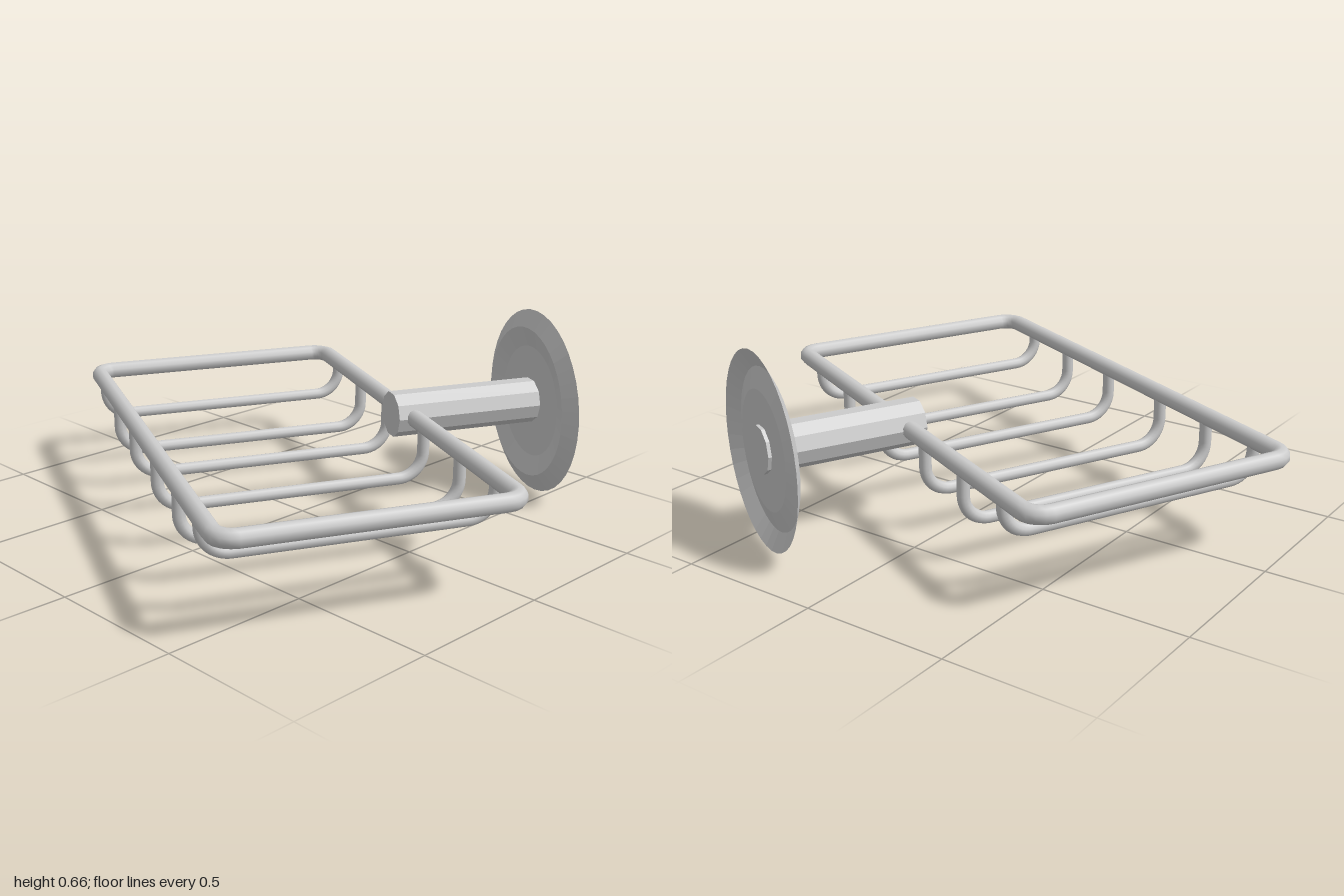
import * as THREE from 'three';

const metal = new THREE.MeshStandardMaterial({ color: 0xcccccc });
const sheet = new THREE.MeshStandardMaterial({ color: 0xcccccc, side: THREE.DoubleSide, flatShading: true });
const faceted = new THREE.MeshStandardMaterial({ color: 0xcccccc, flatShading: true });

// Path through corner points, each inner corner rounded by radius r
function roundedPath(points, r, closed) {
  const path = new THREE.CurvePath();
  const n = points.length;
  const toward = (a, b, d) => a.clone().add(b.clone().sub(a).setLength(d));
  const first = closed ? 0 : 1, last = closed ? n : n - 1;
  const start = closed ? toward(points[0], points[n - 1], r) : points[0];
  let from = start;
  for (let i = first; i < last; i++) {
    const p = points[i], prev = points[(i + n - 1) % n], next = points[(i + 1) % n];
    const a = toward(p, prev, r), b = toward(p, next, r);
    if (from.distanceTo(a) > 1e-6) path.add(new THREE.LineCurve3(from, a));
    path.add(new THREE.CubicBezierCurve3(a, toward(p, prev, r * 0.45), toward(p, next, r * 0.45), b));
    from = b;
  }
  path.add(new THREE.LineCurve3(from, closed ? start : points[n - 1]));
  return path;
}

function add(group, name, geometry, material) {
  const mesh = new THREE.Mesh(geometry, material);
  mesh.name = name;
  group.add(mesh);
  return mesh;
}

export function createModel() {
  const model = new THREE.Group();
  model.name = 'wireBasketHolder';
  const basket = new THREE.Group();
  basket.name = 'basketAndMount';
  basket.rotation.y = THREE.MathUtils.degToRad(-25.4);
  basket.position.z = 0.1;
  model.add(basket);

  const V = (x, y, z) => new THREE.Vector3(x, y, z);
  const rimY = 0.335, halfX = 0.876, halfZ = 0.464;

  // Rounded rectangular rim
  const rim = roundedPath([
    V(-halfX, rimY, -halfZ), V(halfX, rimY, -halfZ),
    V(halfX, rimY, halfZ), V(-halfX, rimY, halfZ),
  ], 0.06, true);
  add(basket, 'rim', new THREE.TubeGeometry(rim, 260, 0.03, 10, true), metal);

  // Hanging U-shaped wires, the two end ones shallower
  [-0.705, -0.455, -0.19, 0.14, 0.43, 0.685].forEach((x, i) => {
    const low = i === 0 || i === 5 ? 0.212 : 0.152;
    const wire = roundedPath([
      V(x, rimY, -halfZ), V(x, low, -halfZ), V(x, low, halfZ), V(x, rimY, halfZ),
    ], 0.09, false);
    add(basket, 'wire' + (i + 1), new THREE.TubeGeometry(wire, 80, 0.021, 10), metal);
  });

  // Post that carries the rim and passes through the wall plate
  const front = -0.405, back = -0.957;
  const post = new THREE.CylinderGeometry(0.08, 0.08, front - back, 10, 1, false, Math.PI / 10);
  post.rotateX(Math.PI / 2);
  add(basket, 'post', post, faceted).position.set(-0.01, rimY, (front + back) / 2);

  // Thin pressed wall plate with a raised ring
  const profile = [[0.33, 0], [0.27, 0.032], [0.2, 0.012], [0.07, 0.012]];
  const plate = new THREE.LatheGeometry(profile.map(p => new THREE.Vector2(...p)), 40);
  plate.rotateX(Math.PI / 2);
  add(basket, 'wallPlate', plate, sheet).position.set(-0.01, 0.33, back);

  return model;
}
